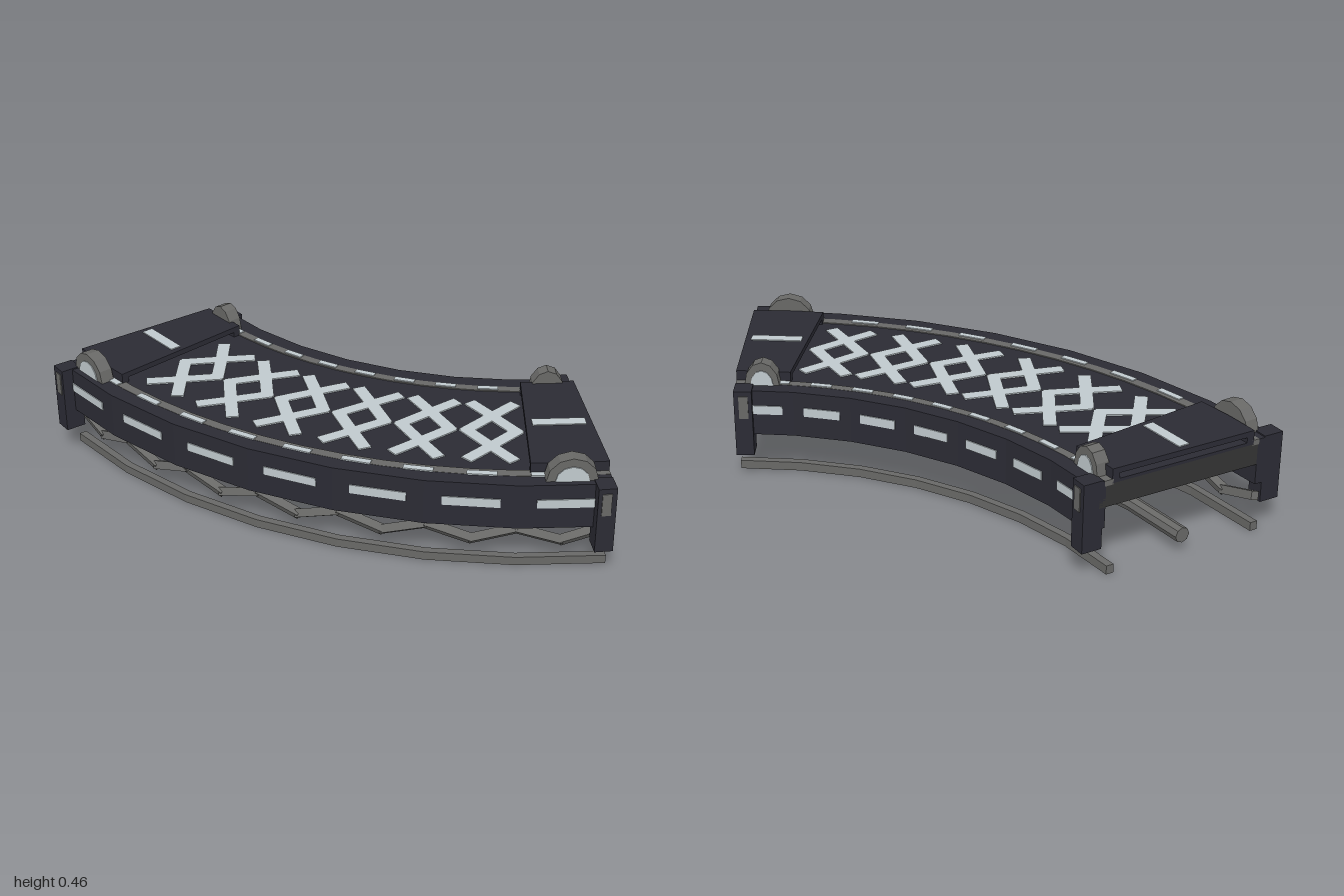
import * as THREE from 'three';

const DEG = Math.PI / 180;
const SWEEP = 60 * DEG;

export function createModel() {
  const mat = (name, color) => {
    const m = new THREE.MeshStandardMaterial({ color, flatShading: true });
    m.name = name;
    return m;
  };
  const dark = mat('dark blue frame', 0x2b2b34);
  const under = mat('dark grey deck', 0x333333);
  const steel = mat('grey steel', 0x686866);
  const pale = mat('pale markings', 0xc0c9cd);

  const model = new THREE.Group();
  model.name = 'curvedConveyor';
  // everything is laid out around the centre of the bend
  const bend = new THREE.Group();
  bend.name = 'bend';
  bend.position.set(-1, 0, -1.53);
  model.add(bend);

  const add = (name, geo, material) => {
    const m = new THREE.Mesh(geo, material);
    m.name = name;
    bend.add(m);
    return m;
  };
  // place at radius r, height y, angle a, with an offset t along the track
  const put = (m, r, y, a, t = 0) => {
    m.position.set(r * Math.sin(a) + t * Math.cos(a), y, r * Math.cos(a) - t * Math.sin(a));
    m.rotation.y = a;
    return m;
  };
  // solid sector of a ring with n straight facets
  const sector = (name, r0, r1, y0, y1, a0, a1, n, material) => {
    const pts = [];
    for (let i = 0; i <= n; i++) {
      const a = a0 + (a1 - a0) * i / n;
      pts.push(new THREE.Vector2(r1 * Math.sin(a), r1 * Math.cos(a)));
    }
    for (let i = n; i >= 0; i--) {
      const a = a0 + (a1 - a0) * i / n;
      pts.push(new THREE.Vector2(r0 * Math.sin(a), r0 * Math.cos(a)));
    }
    const geo = new THREE.ExtrudeGeometry(new THREE.Shape(pts), { depth: y1 - y0, bevelEnabled: false });
    geo.rotateX(Math.PI / 2).translate(0, y1, 0);
    return add(name, geo, material);
  };
  const box = (name, w, h, d, material) => add(name, new THREE.BoxGeometry(w, h, d), material);
  // straight square bar between two points
  const bar = (name, p, q, w, material) => {
    const m = box(name, w, w, p.distanceTo(q) + w * 0.4, material);
    m.position.copy(p).add(q).multiplyScalar(0.5);
    m.quaternion.setFromUnitVectors(new THREE.Vector3(0, 0, 1), q.clone().sub(p).normalize());
    return m;
  };
  const at = (r, y, a) => new THREE.Vector3(r * Math.sin(a), y, r * Math.cos(a));

  // deck, belt, side walls and inner rails
  sector('deck', 1.53, 2.22, 0.27, 0.355, 0, SWEEP, 7, under);
  sector('belt', 1.58, 2.18, 0.355, 0.367, 0, SWEEP, 16, dark);
  sector('outerWall', 2.2, 2.27, 0.19, 0.37, 0, SWEEP, 7, dark);
  sector('innerWall', 1.49, 1.555, 0.19, 0.37, 0, SWEEP, 7, dark);
  sector('outerRail', 2.165, 2.205, 0.35, 0.371, 0, SWEEP, 14, steel);
  sector('innerRail', 1.55, 1.585, 0.35, 0.371, 0, SWEEP, 14, steel);

  // one marking in the middle of each wall facet
  const step = SWEEP / 7;
  for (let i = 0; i < 7; i++) {
    const a = (i + 0.5) * step, c = Math.cos(step / 2);
    put(box('outerWallMark', 0.21, 0.035, 0.006, pale), 2.27 * c + 0.001, 0.293, a);
    put(box('innerWallMark', 0.14, 0.035, 0.006, pale), 1.49 * c - 0.001, 0.293, a);
  }
  // markings along the rails
  for (let k = -4; k <= 4; k++) {
    const a = SWEEP / 2 + k * 6 * DEG;
    put(box('outerRailMark', 0.11, 0.006, 0.026, pale), 2.194, 0.372, a);
    put(box('innerRailMark', 0.08, 0.006, 0.024, pale), 1.565, 0.372, a);
  }

  // lattice markings on the belt: two crossing zigzags per row
  const zigzag = [[-0.2, 0.078], [-0.11, 0], [0, -0.092], [0.11, 0], [0.2, 0.078]];
  for (let row = 0; row < 6; row++) {
    const g = new THREE.Group();
    g.name = 'beltLattice';
    bend.add(g);
    put(g, 1.89, 0.369, (11.25 + 7.5 * row) * DEG);
    for (const side of [-1, 1]) {
      for (let i = 0; i < 4; i++) {
        const [z0, x0] = zigzag[i], [z1, x1] = zigzag[i + 1];
        const dx = (x1 - x0) * side, dz = z1 - z0;
        const m = new THREE.Mesh(new THREE.BoxGeometry(0.05, 0.006, Math.hypot(dx, dz) + 0.03), pale);
        m.name = 'latticeBar';
        m.position.set(side * (x0 + x1) / 2, 0, (z0 + z1) / 2);
        m.rotation.y = Math.atan2(dx, dz);
        g.add(m);
      }
    }
  }

  // the two ends mirror each other
  for (const end of [0, 1]) {
    const dir = end ? -1 : 1;
    const edge = end * SWEEP;
    const inner = edge + dir * 7.5 * DEG;
    const mid = (edge + inner) / 2;
    const a0 = Math.min(edge, inner), a1 = Math.max(edge, inner);
    // raised cover plate on two cheeks
    sector('endCover', 1.58, 2.18, 0.388, 0.41, a0, a1, 2, dark);
    sector('outerCheek', 2.15, 2.18, 0.36, 0.39, a0, a1, 2, dark);
    sector('innerCheek', 1.58, 1.61, 0.36, 0.39, a0, a1, 2, dark);
    put(box('endCoverMark', 0.2, 0.006, 0.045, pale), 1.89, 0.411, mid);

    // corner posts with small plates, and round rollers
    for (const out of [1, -1]) {
      const rPost = out > 0 ? 2.27 : 1.505;
      put(box('cornerPost', 0.068, 0.265, 0.08, dark), rPost, 0.2425, edge, dir * 0.034);
      put(box('postPlate', 0.035, 0.09, 0.006, steel), rPost + out * 0.041, 0.31, edge, dir * 0.036);

      const stretch = out > 0 ? 1.03 : 0.72;
      const disc = new THREE.CylinderGeometry(0.092, 0.092, 0.054, 12).rotateX(Math.PI / 2).scale(stretch, 1, 1);
      const rDisc = out > 0 ? 2.212 : 1.567;
      put(add('roller', disc, steel), rDisc, 0.37, mid);
      const cap = new THREE.CylinderGeometry(0.06, 0.06, 0.006, 12).rotateX(Math.PI / 2).scale(stretch, 1, 1);
      put(add('rollerCap', cap, pale), rDisc + out * 0.028, 0.37, mid);
    }
  }

  // ground rails
  sector('outerGroundRail', 2.195, 2.225, 0, 0.034, 0, SWEEP, 7, steel);
  sector('innerGroundRail', 1.57, 1.6, 0, 0.034, 0, SWEEP, 7, steel);

  // central pipe and zigzag brace below the outer wall
  const pipe = new THREE.CurvePath();
  for (let i = 0; i < 7; i++) {
    pipe.add(new THREE.LineCurve3(at(1.89, 0.068, i * step), at(1.89, 0.068, (i + 1) * step)));
    const low = at(2.2, 0.095, (i + 0.5) * step);
    bar('zigzagBrace', at(2.2, 0.145, i * step), low, 0.032, steel);
    bar('zigzagBrace', low, at(2.2, 0.145, (i + 1) * step), 0.032, steel);
  }
  add('centralPipe', new THREE.TubeGeometry(pipe, 14, 0.03, 8), steel);
  for (const a of [0, SWEEP]) {
    const cap = put(add('pipeCap', new THREE.CircleGeometry(0.03, 8), steel), 1.89, 0.068, a);
    cap.rotation.y = a + (a ? 1 : -1) * Math.PI / 2;
  }
  return model;
}
